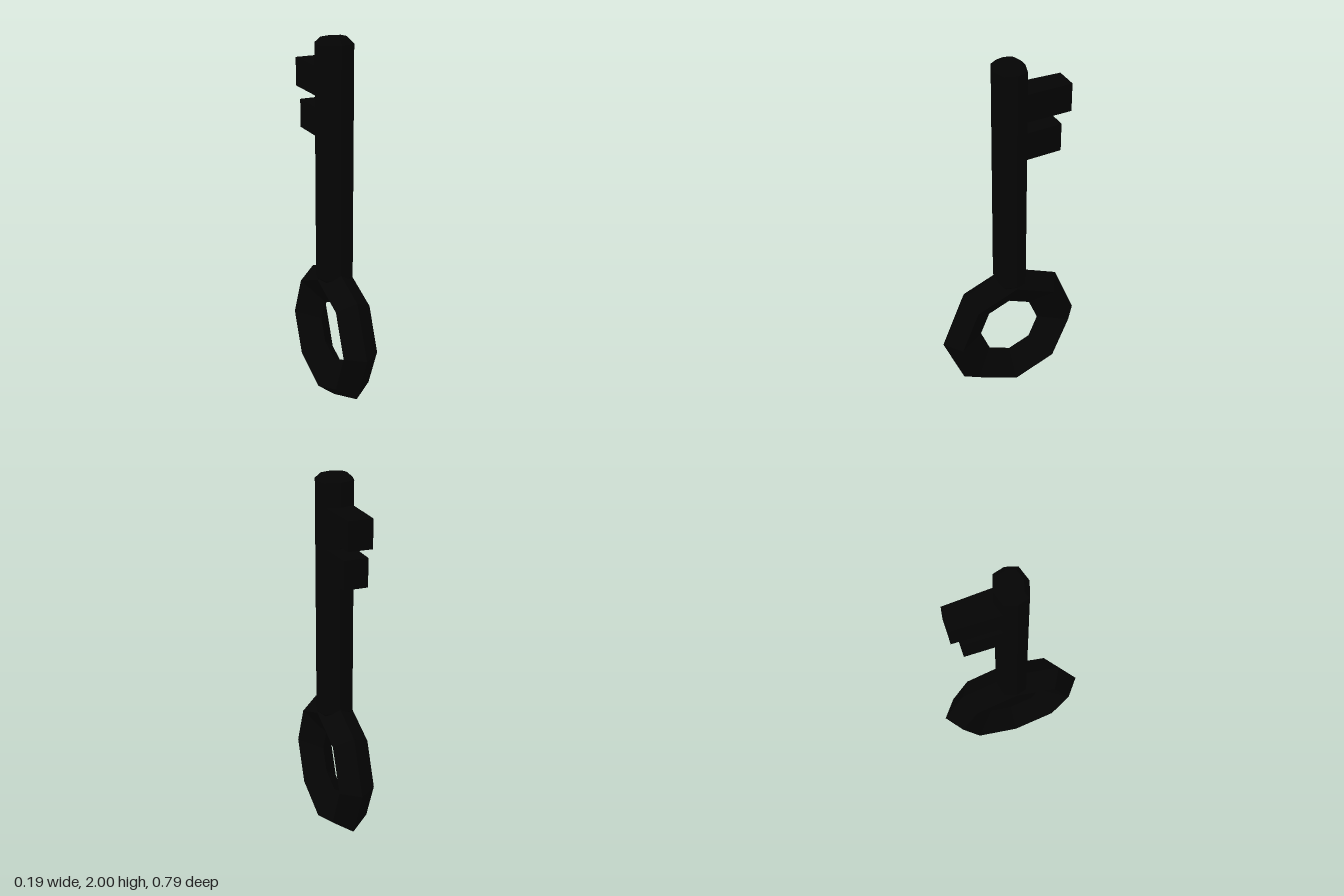
import * as THREE from 'three';

export function createModel() {
  const group = new THREE.Group();
  const material = new THREE.MeshStandardMaterial({ color: 0x040404, flatShading: true });

  const add = (name, geometry) => {
    const mesh = new THREE.Mesh(geometry, material);
    mesh.name = name;
    group.add(mesh);
    return mesh;
  };

  // Eight-sided turned form from [radius, height] pairs
  const turn = (points) =>
    new THREE.LatheGeometry(points.map(([r, y]) => new THREE.Vector2(r, y)), 8);

  // Bow: ring with a kite section, sharp ridges on the rim and around the hole
  const bow = turn([[0.172, 0], [0.32, -0.097], [0.396, 0], [0.32, 0.097], [0.172, 0]]);
  bow.rotateZ(Math.PI / 2);
  add('bow', bow).position.y = 0.397;

  // Shaft: bar with chamfered ends, its diagonal edges pushed out towards a boxy section
  const shaft = turn([[0, 0.715], [0.085, 0.715], [0.097, 0.73], [0.097, 1.972], [0.068, 2], [0, 2]]);
  shaft.scale(1, 1, 0.88);
  const edge = shaft.attributes.position;
  for (let i = 0; i < edge.count; i++) {
    if (Math.abs(edge.getZ(i)) > 0.001) edge.setX(i, edge.getX(i) * 1.16);
  }
  add('shaft', shaft);

  // Teeth: two blocks reaching backward, the left side tapering towards the tip
  const addTooth = (name, bottom, top, reach) => {
    const tooth = new THREE.BoxGeometry(0.148, top - bottom, reach);
    const corner = tooth.attributes.position;
    for (let i = 0; i < corner.count; i++) {
      if (corner.getX(i) > 0 && corner.getZ(i) < 0) corner.setX(i, 0.054);
    }
    add(name, tooth).position.set(0, (bottom + top) / 2, -reach / 2);
  };
  addTooth('upperTooth', 1.7, 1.85, 0.313);
  addTooth('lowerTooth', 1.49, 1.64, 0.26);

  return group;
}
